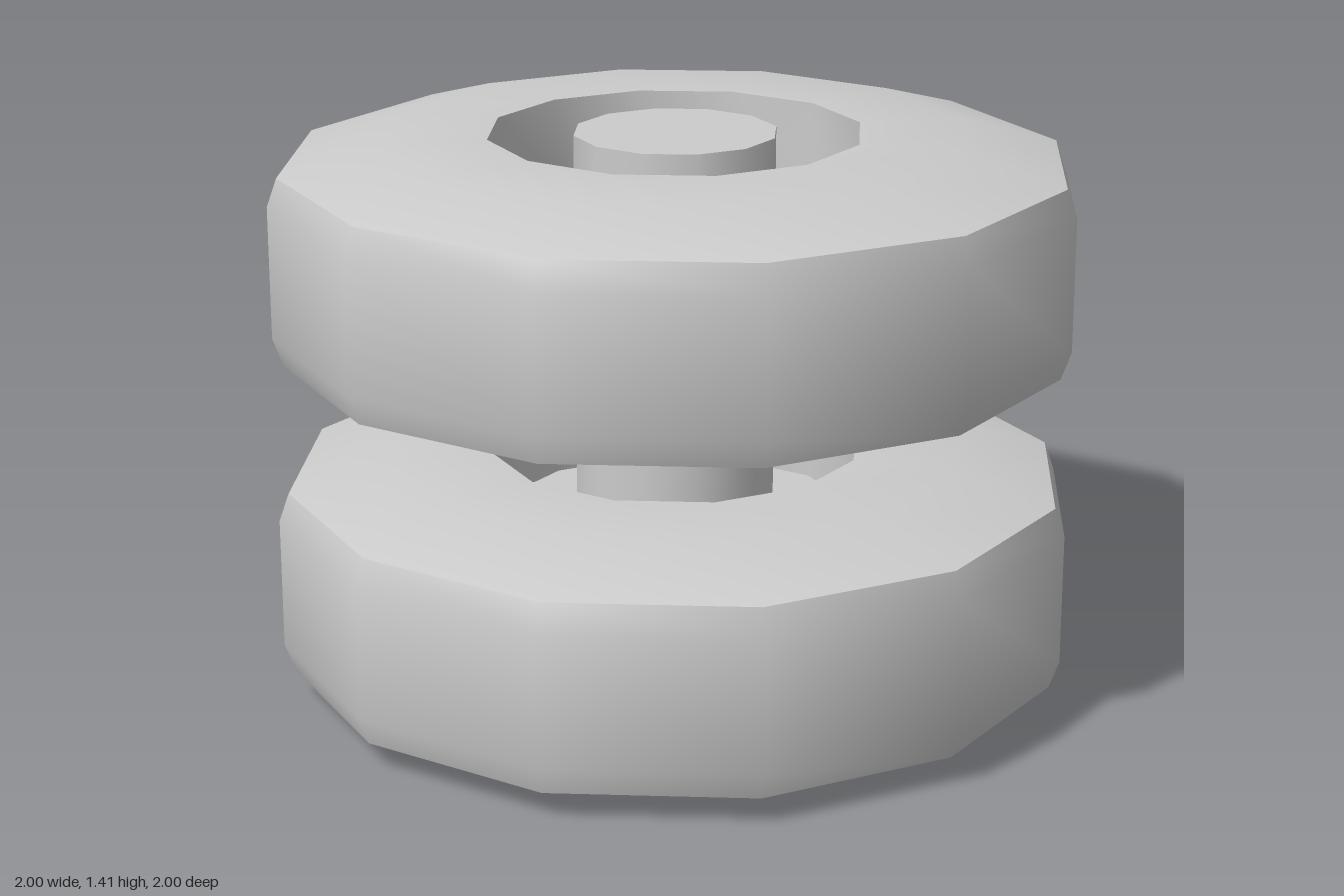
import * as THREE from 'three';
import { toCreasedNormals } from 'three/addons/utils/BufferGeometryUtils.js';

const SIDES = 12;
const WHEEL_HEIGHT = 0.61;
const SPACING = 0.8;
const CREASE = 0.65;

export function createModel() {
  const model = new THREE.Group();
  model.name = 'twinWheels';
  const material = new THREE.MeshStandardMaterial({ color: 0xcccccc });

  // Wheel section from the lower web, around the tread, to the upper web
  const lower = [[0.2, 0.2], [0.465, 0.2], [0.465, 0], [0.73, 0], [0.975, 0.07], [1, 0.14]];
  const upper = lower.map(([r, y]) => [r, WHEEL_HEIGHT - y]).reverse();
  const profile = [...lower, ...upper].map(([r, y]) => new THREE.Vector2(r, y));
  const wheelGeometry = toCreasedNormals(new THREE.LatheGeometry(profile, SIDES), CREASE);

  // Two identical stacked wheels
  ['lowerWheel', 'upperWheel'].forEach((name, i) => {
    const wheel = new THREE.Mesh(wheelGeometry, material);
    wheel.name = name;
    wheel.position.y = i * SPACING;
    model.add(wheel);
  });

  // Axle through both wheels, flush with their outer faces
  const length = SPACING + WHEEL_HEIGHT;
  const axle = new THREE.Mesh(
    toCreasedNormals(new THREE.CylinderGeometry(0.253, 0.253, length, SIDES), CREASE),
    material
  );
  axle.name = 'axle';
  axle.position.y = length / 2;
  model.add(axle);

  return model;
}
